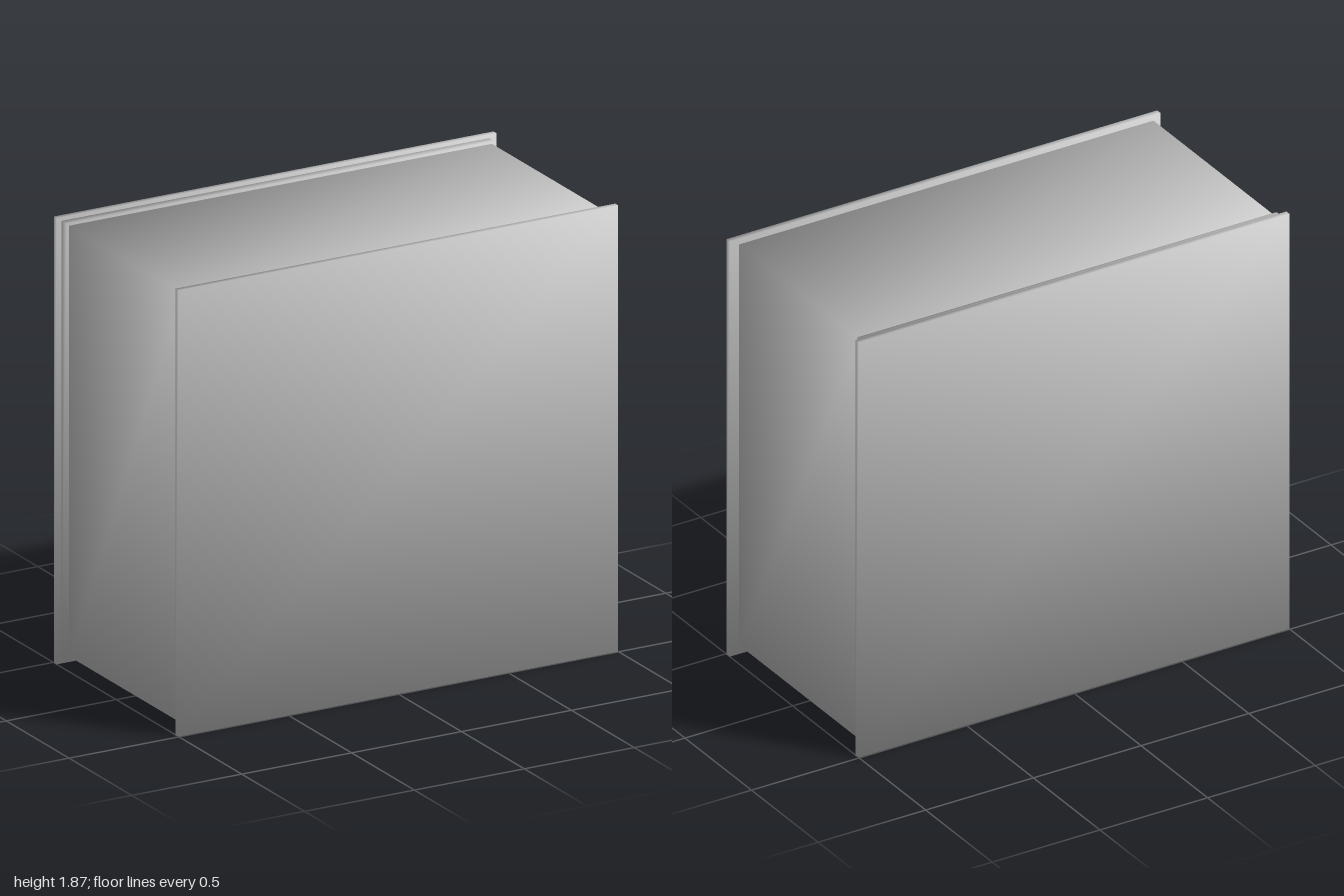
import * as THREE from 'three';

const material = new THREE.MeshStandardMaterial({ color: 0xcccccc });

// Box given by its min and max corners, with normals averaged at each corner for soft shading
function softBox(name, min, max) {
  const size = max.map((v, i) => v - min[i]);
  const geometry = new THREE.BoxGeometry(...size);
  const { position, normal } = geometry.attributes;
  const n = new THREE.Vector3();
  for (let i = 0; i < position.count; i++) {
    n.set(Math.sign(position.getX(i)), Math.sign(position.getY(i)), Math.sign(position.getZ(i))).normalize();
    normal.setXYZ(i, n.x, n.y, n.z);
  }
  const mesh = new THREE.Mesh(geometry, material);
  mesh.name = name;
  mesh.position.set(...max.map((v, i) => (v + min[i]) / 2));
  return mesh;
}

export function createModel() {
  const group = new THREE.Group();
  group.name = 'panelledBox';
  group.add(
    // Overhanging cover panels at both ends
    softBox('frontPanel', [-1, 0, 0.472], [1, 1.873, 0.497]),
    softBox('backPanel', [-1, 0, -0.497], [1, 1.873, -0.473]),
    // Main casing, very slightly off centre
    softBox('casing', [-0.967, 0.04, -0.434], [0.957, 1.848, 0.472]),
    // Raised collar between the casing and the back panel
    softBox('backCollar', [-0.978, 0.03, -0.473], [0.968, 1.858, -0.434])
  );
  return group;
}
